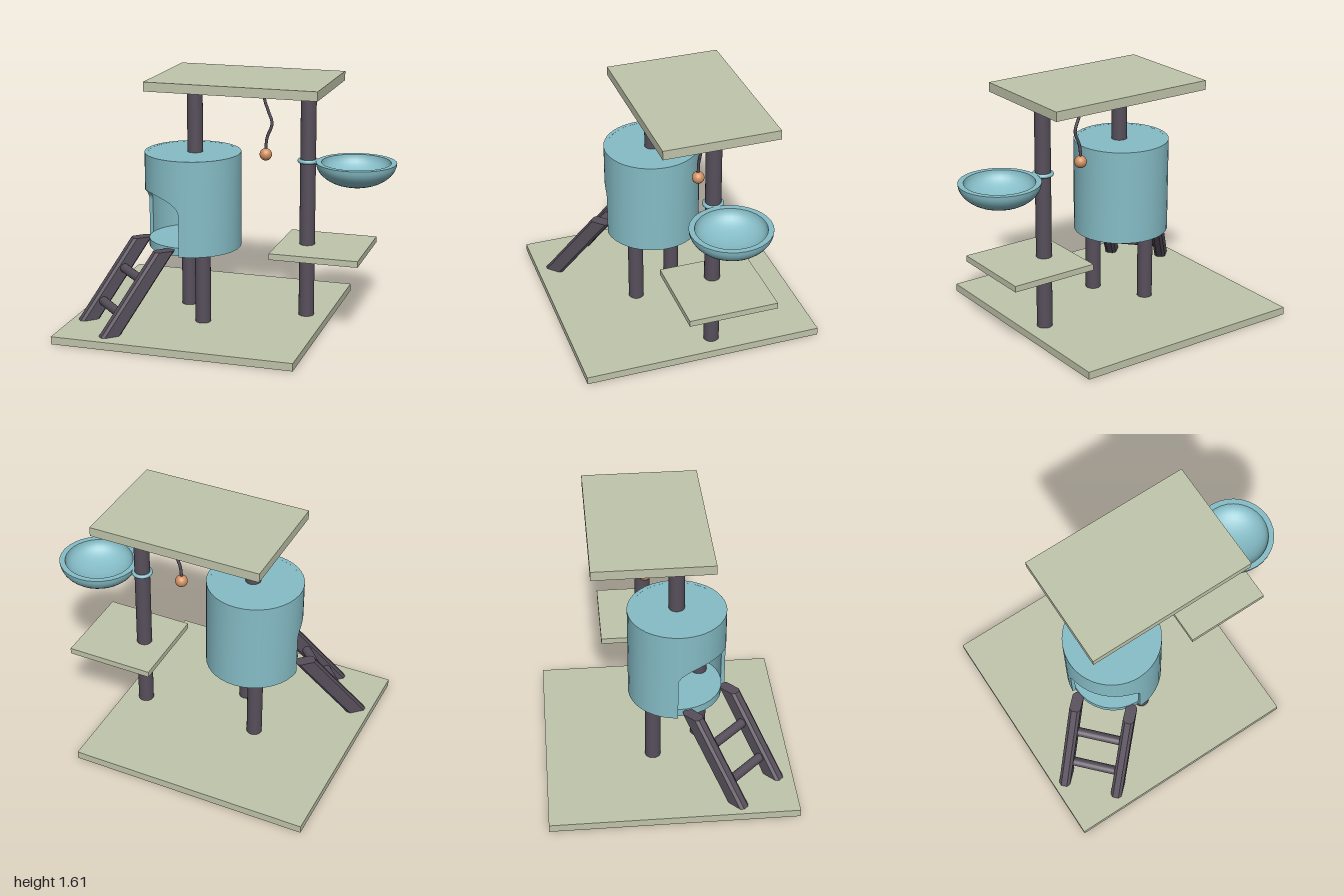
import * as THREE from 'three';
import { toCreasedNormals } from 'three/addons/utils/BufferGeometryUtils.js';

const mat = (name, color, side = THREE.FrontSide) => {
  const m = new THREE.MeshStandardMaterial({ color, side });
  m.name = name;
  return m;
};

export function createModel() {
  const model = new THREE.Group();
  const board = mat('sage board', 0xc0c5ab);
  const teal = mat('teal plush', 0x86bdc7);
  const dark = mat('dark sisal', 0x574f5b);
  const orange = mat('orange ball', 0xcf9062);

  const add = (parent, name, geometry, material, x = 0, y = 0, z = 0) => {
    const mesh = new THREE.Mesh(geometry, material);
    mesh.name = name;
    mesh.position.set(x, y, z);
    parent.add(mesh);
    return mesh;
  };
  const slab = (name, x0, x1, y0, y1, z0, z1) =>
    add(model, name, new THREE.BoxGeometry(x1 - x0, y1 - y0, z1 - z0), board,
      (x0 + x1) / 2, (y0 + y1) / 2, (z0 + z1) / 2);
  const disc = (parent, name, r, y0, y1, material, x = 0, z = 0) =>
    add(parent, name, new THREE.CylinderGeometry(r, r, y1 - y0, 32), material, x, (y0 + y1) / 2, z);

  // Boards
  slab('base', -1, 0.57, 0, 0.05, -0.785, 0.785);
  slab('topPlatform', -0.545, 0.575, 1.545, 1.605, -0.465, 0.28);
  slab('shelf', 0.25, 0.825, 0.492, 0.532, -0.38, 0.195);

  // Posts
  disc(model, 'tallPost', 0.05, 0.05, 1.545, dark, 0.428, -0.092);
  disc(model, 'upperPost', 0.05, 1.12, 1.545, dark, -0.275, 0.07);
  disc(model, 'frontHousePost', 0.05, 0.05, 1.11, dark, -0.177, 0.225);
  disc(model, 'backHousePost', 0.05, 0.05, 1.11, dark, -0.375, -0.09);

  // House and ladder share a frame whose +z points out through the doorway
  const house = new THREE.Group();
  house.name = 'houseWithLadder';
  house.position.set(-0.29, 0, 0.07);
  house.rotation.y = THREE.MathUtils.degToRad(-46.5);
  model.add(house);
  add(house, 'houseWall', wallGeometry(), teal);
  disc(house, 'houseRoof', 0.3, 1.105, 1.1345, teal);
  disc(house, 'houseFloor', 0.287, 0.515, 0.567, teal);

  // Ladder: chamfered rails leaning towards the house, with round rungs
  const yLow = 0.05, yHigh = 0.557, zLow = 0.67, zHigh = 0.29;
  const lean = y => zLow + (zHigh - zLow) * (y - yLow) / (yHigh - yLow);
  for (const [name, side] of [['rightRail', -1], ['leftRail', 1]]) {
    add(house, name, railGeometry(yLow, yHigh, lean), dark, side * 0.178, 0, 0);
  }
  for (const y of [0.168, 0.37]) {
    const rung = new THREE.CylinderGeometry(0.03, 0.03, 0.34, 20).rotateZ(Math.PI / 2);
    add(house, 'rung', rung, dark, 0, y, lean(y));
  }

  // Bowl bed: outer and inner ellipse joined by a flat rim
  const profile = [];
  const arc = (r, depth, from, to) => {
    for (let i = 0; i <= 12; i++) {
      const t = (from + (to - from) * i / 12) * Math.PI / 2;
      profile.push(new THREE.Vector2(Math.max(r * Math.sin(t), 0), -depth * Math.cos(t)));
    }
  };
  arc(0.256, 0.156, 0, 1);
  arc(0.22, 0.122, 1, 0);
  add(model, 'bowlBed', toCreasedNormals(new THREE.LatheGeometry(profile, 32), 0.8), teal,
    0.742, 1.095, -0.092);
  add(model, 'bowlCollar', new THREE.TorusGeometry(0.055, 0.013, 10, 32).rotateX(Math.PI / 2), teal,
    0.428, 1.084, -0.092);

  // Hanging toy
  const path = new THREE.CatmullRomCurve3([
    [0.165, 1.55], [0.137, 1.475], [0.158, 1.4], [0.187, 1.31], [0.155, 1.215], [0.145, 1.13],
  ].map(([x, y]) => new THREE.Vector3(x, y, -0.095)));
  add(model, 'toyCord', new THREE.TubeGeometry(path, 40, 0.01, 8), dark);
  add(model, 'toyBall', new THREE.SphereGeometry(0.04, 24, 16), orange, 0.147, 1.105, -0.095);

  return model;
}

// Round wall with an arched doorway, swept as a rectangular section around the axis
function wallGeometry() {
  const R = 0.31, r = 0.285, top = 1.135, bottom = 0.515;
  const half = THREE.MathUtils.degToRad(47);
  const columns = [];
  for (let i = 0; i <= 18; i++) {
    const u = -Math.cos(Math.PI * i / 18);
    columns.push([u * half, 0.785 + 0.115 * Math.sqrt(Math.max(0, 1 - u * u))]);
  }
  for (let i = 0; i <= 28; i++) {
    columns.push([half + (2 * Math.PI - 2 * half) * i / 28, bottom]);
  }
  const section = ([a, y]) => [[R, y], [R, top], [r, top], [r, y]]
    .map(([d, h]) => [d * Math.sin(a), h, d * Math.cos(a)]);
  const pos = [];
  columns.forEach((column, i) => {
    const next = columns[(i + 1) % columns.length];
    const p = section(column), q = section(next);
    const jamb = i === 18 || i === columns.length - 1;
    for (let k = jamb ? 3 : 0; k < 4; k++) {
      const n = (k + 1) % 4;
      pos.push(...p[k], ...q[k], ...q[n], ...p[k], ...q[n], ...p[n]);
    }
  });
  const g = new THREE.BufferGeometry();
  g.setAttribute('position', new THREE.Float32BufferAttribute(pos, 3));
  return toCreasedNormals(g, 0.6);
}

// Upright chamfered bar sheared along z, keeping its ends level
function railGeometry(y0, y1, lean) {
  const w = 0.037, l = 0.066, c = 0.018;
  const shape = new THREE.Shape([
    [-w + c, -l], [w - c, -l], [w, -l + c], [w, l - c],
    [w - c, l], [-w + c, l], [-w, l - c], [-w, -l + c],
  ].map(([x, y]) => new THREE.Vector2(x, y)));
  const g = new THREE.ExtrudeGeometry(shape, { depth: y1 - y0, bevelEnabled: false });
  g.rotateX(-Math.PI / 2).translate(0, y0, 0);
  const p = g.attributes.position;
  for (let i = 0; i < p.count; i++) p.setZ(i, p.getZ(i) + lean(p.getY(i)));
  g.computeVertexNormals();
  return g;
}
